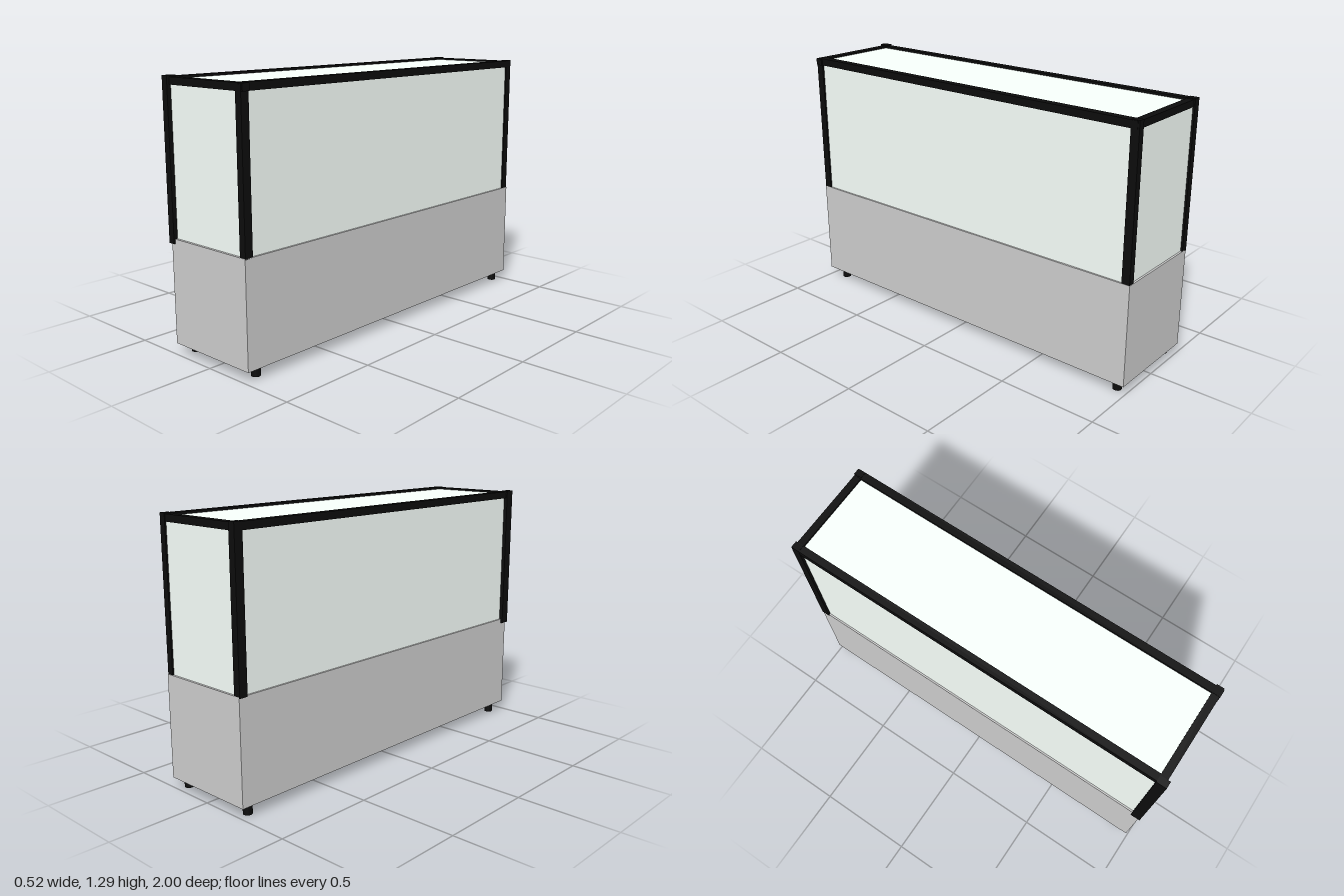
import * as THREE from 'three';

export function createModel() {
  const model = new THREE.Group();
  const grey = new THREE.MeshStandardMaterial({ color: 0xcccccc });
  const glass = new THREE.MeshStandardMaterial({ color: 0xf7fffa });
  const black = new THREE.MeshStandardMaterial({ color: 0x0c0c0c });

  // Box given by its min and max corners
  const box = (name, mat, [x0, y0, z0], [x1, y1, z1]) => {
    const mesh = new THREE.Mesh(new THREE.BoxGeometry(x1 - x0, y1 - y0, z1 - z0), mat);
    mesh.position.set((x0 + x1) / 2, (y0 + y1) / 2, (z0 + z1) / 2);
    mesh.name = name;
    model.add(mesh);
  };

  // Cabinet and the glazed case above it
  box('baseCabinet', grey, [-0.252, 0.05, -1], [0.252, 0.555, 0.99]);
  box('glassCase', glass, [-0.243, 0.555, -0.99], [0.243, 1.275, 0.978]);

  // Corner posts
  box('frontRightPost', black, [-0.262, 0.533, 0.947], [-0.227, 1.29, 0.998]);
  box('frontLeftPost', black, [0.217, 0.55, 0.947], [0.252, 1.28, 0.988]);
  box('backRightPost', black, [-0.256, 0.55, -1], [-0.22, 1.288, -0.957]);
  box('backLeftPost', black, [0.217, 0.55, -0.998], [0.25, 1.288, -0.957]);

  // Top rails
  box('rightRail', black, [-0.255, 1.25, -0.99], [-0.218, 1.286, 0.98]);
  box('leftRail', black, [0.213, 1.25, -0.99], [0.252, 1.286, 0.98]);
  box('frontRail', black, [-0.25, 1.25, 0.947], [0.259, 1.284, 0.985]);
  box('backRail', black, [-0.25, 1.25, -0.994], [0.25, 1.284, -0.957]);

  // Feet
  const footGeometry = new THREE.CylinderGeometry(0.022, 0.022, 0.05, 24);
  for (const x of [-0.215, 0.207]) {
    for (const z of [-0.943, 0.908]) {
      const foot = new THREE.Mesh(footGeometry, black);
      foot.position.set(x, 0.025, z);
      foot.name = 'foot';
      model.add(foot);
    }
  }
  return model;
}
